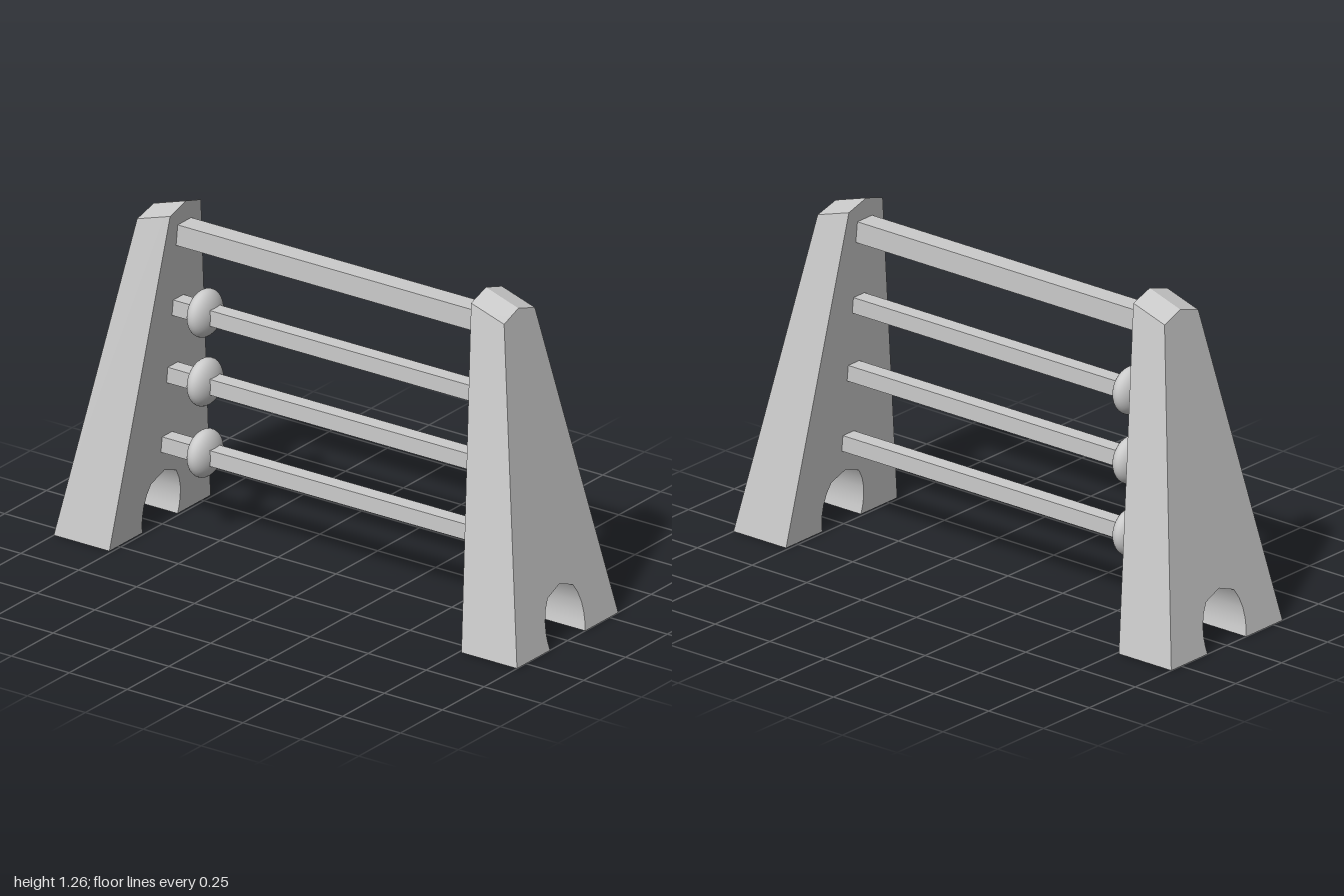
import * as THREE from 'three';
import { toCreasedNormals } from 'three/addons/utils/BufferGeometryUtils.js';

const material = new THREE.MeshStandardMaterial({ color: 0xcccccc });

function addMesh(parent, name, geometry, x = 0, y = 0, z = 0) {
  const mesh = new THREE.Mesh(geometry, material);
  mesh.name = name;
  mesh.position.set(x, y, z);
  parent.add(mesh);
  return mesh;
}

// inner and outer face of an upright at height y
const innerZ = y => 0.76 - 0.0895 * y;
const outerZ = y => 1 - 0.175 * y;

// Tapered upright with an arched cut-out at the foot
function uprightGeometry() {
  const half = [[0.105, 0], [0.111, 0.03], [0.113, 0.065], [0.109, 0.105], [0.096, 0.145], [0.075, 0.18]];
  const arch = [...half, [0, 0.207], ...half.map(([x, y]) => [-x, y]).reverse()];
  const outline = [[-0.303, 0], ...arch.map(([x, y]) => [-x, y]),
    [0.303, 0], [0.092, 1.232], [0, 1.26], [-0.092, 1.232]];
  const shape = new THREE.Shape(outline.map(([x, y]) => new THREE.Vector2(x, y)));
  const geometry = new THREE.ExtrudeGeometry(shape, { depth: 1, bevelEnabled: false });
  // lean both faces inwards and slope the cap down to the outside
  const p = geometry.attributes.position;
  for (let i = 0; i < p.count; i++) {
    const outer = p.getZ(i) > 0.5;
    if (outer && p.getY(i) > 1) p.setY(i, p.getY(i) - 0.045);
    const y = p.getY(i);
    p.setZ(i, outer ? outerZ(y) : innerZ(y));
  }
  geometry.deleteAttribute('normal');
  geometry.deleteAttribute('uv');
  return toCreasedNormals(geometry, 0.45);
}

export function createModel() {
  const model = new THREE.Group();
  model.name = 'barFence';

  // End uprights
  const upright = uprightGeometry();
  addMesh(model, 'frontUpright', upright);
  addMesh(model, 'backUpright', upright).rotation.y = Math.PI;

  // Horizontal bars, their ends buried in the uprights
  function addBar(name, y, size) {
    const length = 2 * (innerZ(y) + 0.05);
    addMesh(model, name, new THREE.BoxGeometry(size, size, length), 0, y, 0);
  }
  addBar('topBar', 1.14, 0.08);

  // Each lower bar carries a flattened bead near the back
  const bead = new THREE.SphereGeometry(0.089, 32, 20).rotateX(Math.PI / 2).scale(1, 1, 0.53);
  [0.853, 0.59, 0.318].forEach((y, i) => {
    addBar(`lowerBar${i + 1}`, y, 0.06);
    addMesh(model, `bead${i + 1}`, bead, 0, y, -0.565);
  });

  return model;
}
